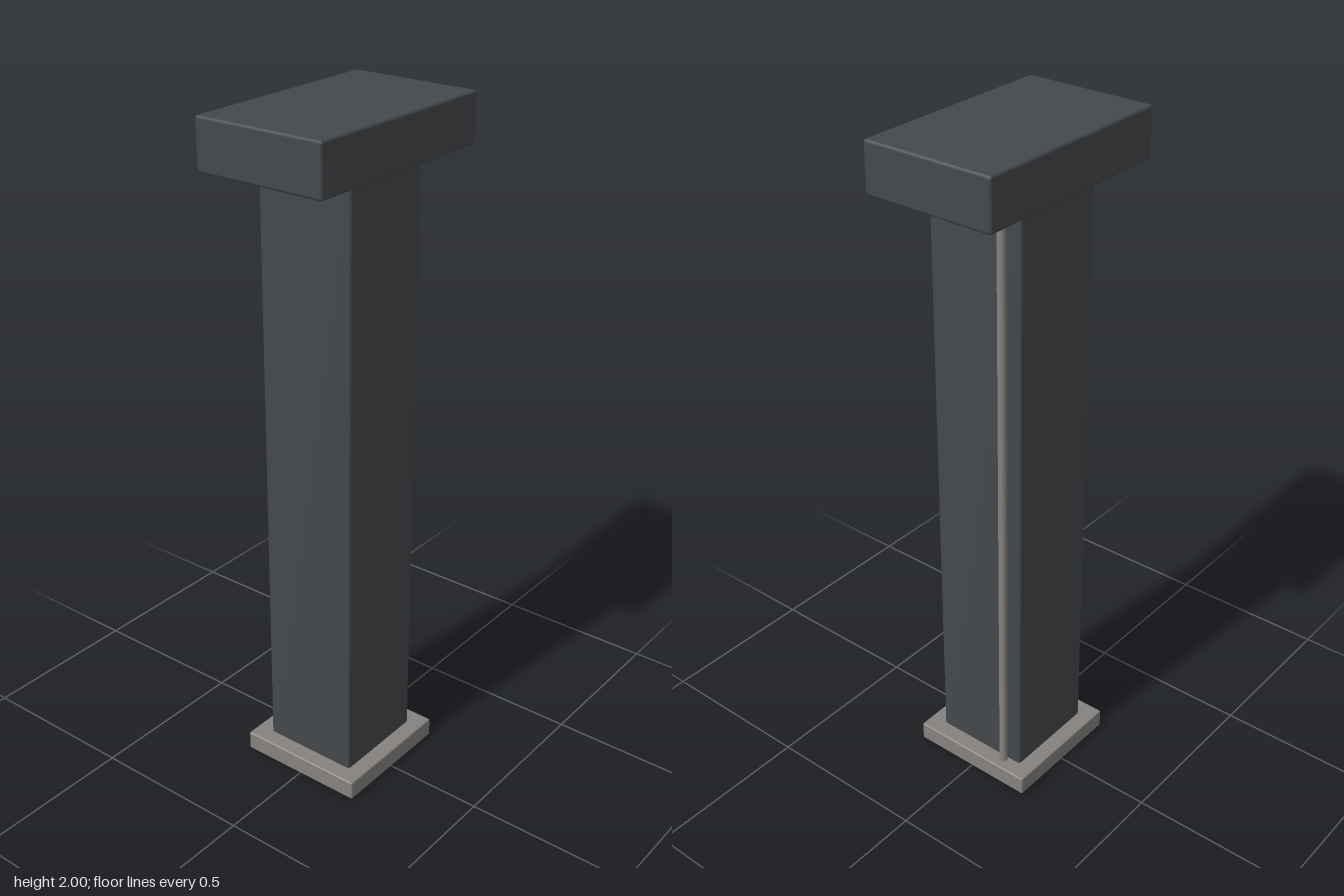
import * as THREE from 'three';
import { RoundedBoxGeometry } from 'three/addons/geometries/RoundedBoxGeometry.js';

export function createModel() {
  const group = new THREE.Group();
  const dark = new THREE.MeshStandardMaterial({ color: 0x44484c });
  const metal = new THREE.MeshStandardMaterial({ color: 0x85827f });

  const add = (name, geometry, material, x, y, z) => {
    const mesh = new THREE.Mesh(geometry, material);
    mesh.name = name;
    mesh.position.set(x, y, z);
    group.add(mesh);
  };
  // Box with a narrow single-step bevel, standing between two heights
  const block = (name, w, d, y0, y1, bevel, material) =>
    add(name, new RoundedBoxGeometry(w, y1 - y0, d, 1, bevel), material, 0, (y0 + y1) / 2, 0);

  // Square base plate, with the column foot just showing underneath
  block('basePlate', 0.4, 0.4, 0.001, 0.06, 0.005, metal);
  block('column', 0.3, 0.3, 0, 1.856, 0.008, dark);

  // Wide slab on top
  block('cap', 0.65, 0.4, 1.855, 2, 0.008, dark);

  // Thin pipe running up the left face near the back
  add('pipe', new THREE.CylinderGeometry(0.0125, 0.0125, 1.81, 16), metal, 0.1625, 0.955, -0.098);

  return group;
}
